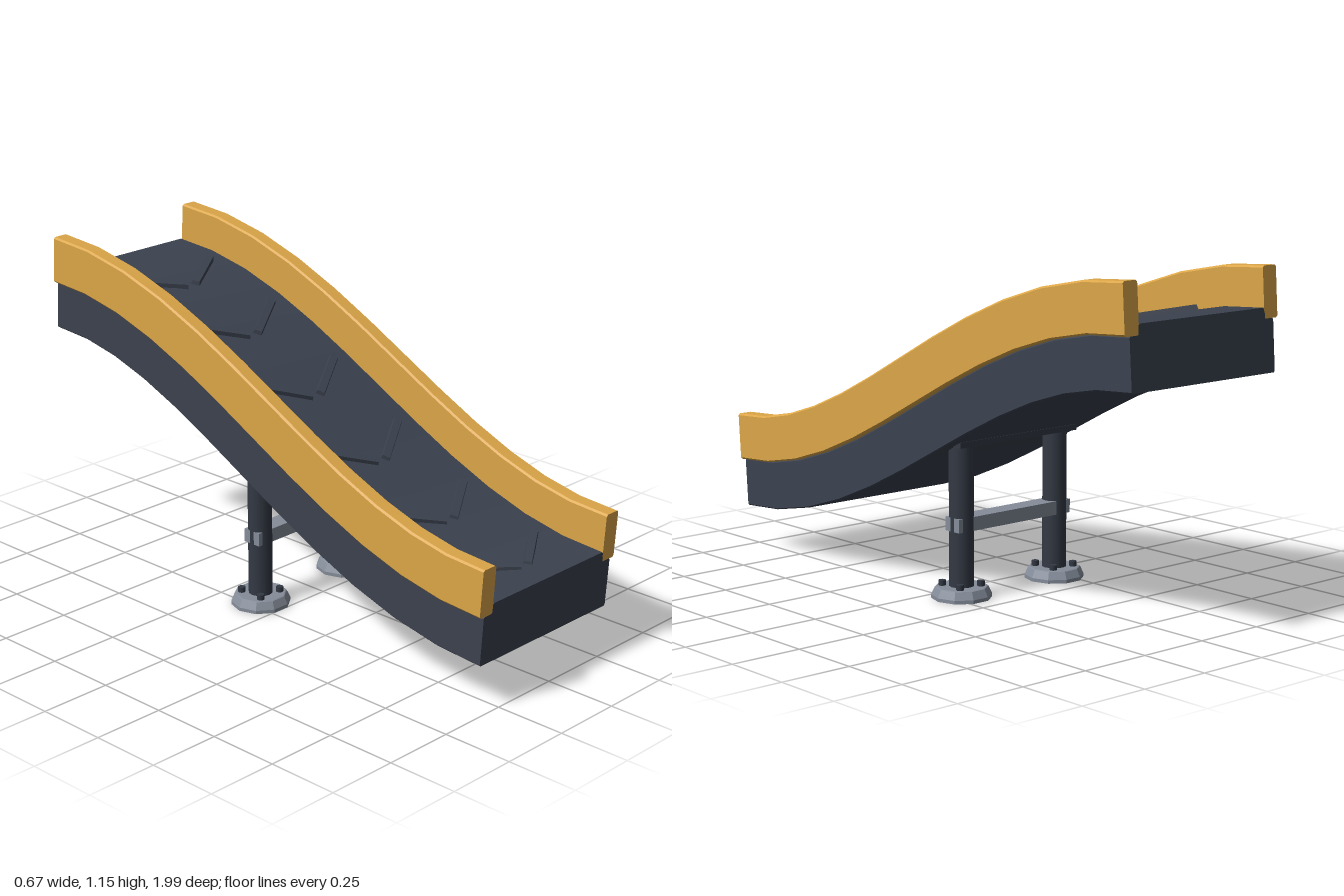
import * as THREE from 'three';
import { toCreasedNormals } from 'three/addons/utils/BufferGeometryUtils.js';

const mat = (name, color) => {
  const m = new THREE.MeshStandardMaterial({ color });
  m.name = name;
  return m;
};
const END = 0.985, RISE = 0.33, MID = 0.655, SEGMENTS = 12;

// S-shaped side profile: height at z, running down from back to front
const heightAt = z => MID - RISE * Math.sin((z / END) * Math.PI / 2);
const slopeAt = (z, h = 0.08) => {
  const a = Math.max(-END, z - h), b = Math.min(END, z + h);
  return Math.atan((heightAt(a) - heightAt(b)) / (b - a));
};

// Sweeps a chamfered rectangle (x range, offset range above the curve) along the profile
function sweep(x0, x1, n0, n1, c = 0.006) {
  const section = [
    [x0 + c, n0], [x1 - c, n0], [x1, n0 + c], [x1, n1 - c],
    [x1 - c, n1], [x0 + c, n1], [x0, n1 - c], [x0, n0 + c],
  ];
  const count = section.length, pos = [], index = [];
  for (let i = 0; i <= SEGMENTS; i++) {
    const z = END - (2 * END * i) / SEGMENTS;
    const a = slopeAt(z, (2 * END) / SEGMENTS);
    for (const [x, n] of section) pos.push(x, heightAt(z) + n * Math.cos(a), z + n * Math.sin(a));
  }
  for (let i = 0; i < SEGMENTS; i++) {
    for (let k = 0; k < count; k++) {
      const a = i * count + k, b = i * count + (k + 1) % count;
      const d = a + count, e = b + count;
      index.push(a, d, e, a, e, b);
    }
  }
  const last = SEGMENTS * count;
  for (let k = 1; k < count - 1; k++) {
    index.push(0, k, k + 1, last, last + k + 1, last + k);
  }
  const g = new THREE.BufferGeometry();
  g.setAttribute('position', new THREE.Float32BufferAttribute(pos, 3));
  g.setIndex(index);
  return toCreasedNormals(g, 0.4);
}

// Box whose upper face is drawn in to give a bevelled grip bar
function cleatGeometry() {
  const g = new THREE.BoxGeometry(0.23, 0.024, 0.036);
  const p = g.attributes.position;
  for (let i = 0; i < p.count; i++) {
    if (p.getY(i) > 0) p.setXYZ(i, p.getX(i) * 0.96, p.getY(i), p.getZ(i) * 0.72);
  }
  g.computeVertexNormals();
  return g;
}

export function createModel() {
  const model = new THREE.Group();
  model.name = 'curvedConveyor';
  const yellow = mat('railYellow', 0xdca648);
  const dark = mat('bodyCharcoal', 0x3b424f);
  const leg = mat('legCharcoal', 0x333944);
  const grey = mat('footGrey', 0x858d9a);

  const add = (parent, name, geometry, material, x = 0, y = 0, z = 0) => {
    const m = new THREE.Mesh(geometry, material);
    m.name = name;
    m.position.set(x, y, z);
    parent.add(m);
    return m;
  };

  // Curved body, belt and side rails
  add(model, 'body', sweep(-0.315, 0.315, -0.172, 0, 0.004), dark);
  add(model, 'belt', sweep(-0.277, 0.277, -0.01, 0.035), dark);
  for (const s of [-1, 1]) {
    add(model, s > 0 ? 'leftRail' : 'rightRail',
      sweep(s * 0.305 - 0.03, s * 0.305 + 0.03, 0, 0.166), yellow);
  }

  // Chevron grip bars lying on the belt
  const cleat = cleatGeometry();
  for (const z of [-0.7, -0.39, -0.09, 0.21, 0.51, 0.82]) {
    const a = slopeAt(z), u = z - 0.035 * Math.sin(a);
    const row = new THREE.Group();
    row.name = 'chevron';
    row.position.set(0, heightAt(u) + 0.036 * Math.cos(a), u + 0.036 * Math.sin(a));
    row.rotation.x = a;
    for (const s of [-1, 1]) add(row, 'gripBar', cleat, dark, s * 0.111).rotation.y = s * 0.6;
    model.add(row);
  }

  // Two legs on bolted feet
  const legZ = -0.095;
  const foot = toCreasedNormals(new THREE.LatheGeometry([
    [0, 0], [0.1025, 0], [0.1025, 0.012], [0.09, 0.038], [0.086, 0.04], [0, 0.04],
  ].map(([r, y]) => new THREE.Vector2(r, y)), 10), 0.4);
  const post = new THREE.CylinderGeometry(0.0425, 0.0425, 0.5, 12);
  const bolt = new THREE.CylinderGeometry(0.013, 0.013, 0.02, 8);
  for (const s of [-1, 1]) {
    const support = new THREE.Group();
    support.name = s > 0 ? 'leftLeg' : 'rightLeg';
    support.position.set(s * 0.21, 0, legZ);
    add(support, 'foot', foot, grey).rotation.y = Math.PI / 2;
    add(support, 'post', post, leg, 0, 0.285, 0);
    for (const bx of [-1, 1]) {
      for (const bz of [-1, 1]) add(support, 'bolt', bolt, leg, bx * 0.046, 0.048, bz * 0.046);
    }
    model.add(support);
  }

  // Cross bar through the posts and mounting plate under the body
  add(model, 'crossBar', new THREE.BoxGeometry(0.5, 0.047, 0.07), grey, 0, 0.252, legZ);
  add(model, 'mountPlate', new THREE.BoxGeometry(0.52, 0.02, 0.11), leg, 0, 0.528, legZ);

  return model;
}
